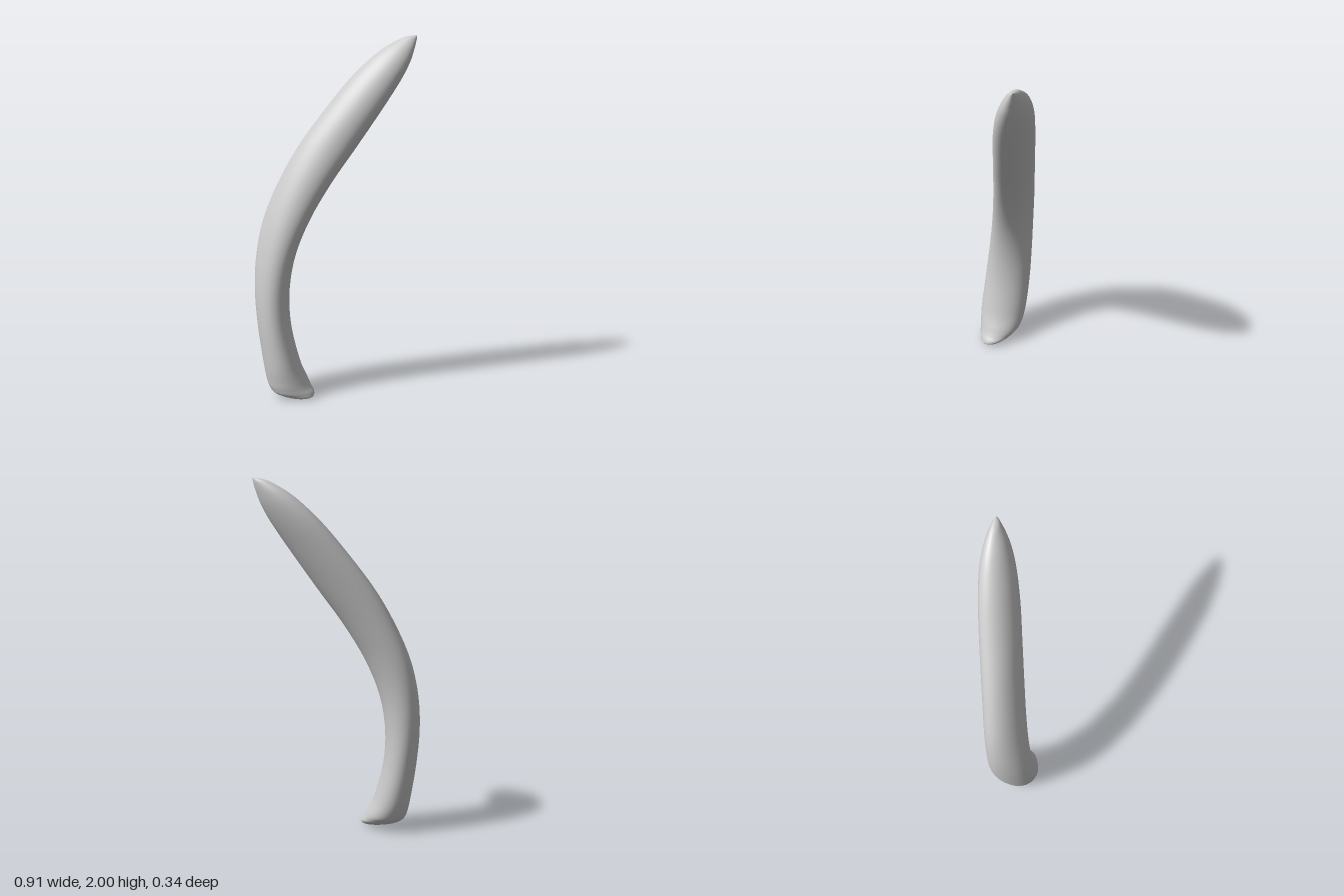
import * as THREE from 'three';

// Horizontal slices of the horn: height, x range, z range
const slices = [
  [0, -0.2, -0.2, 0.11, 0.11],
  [0.008, -0.27, -0.148, 0.06, 0.158],
  [0.03, -0.355, -0.137, 0.0, 0.17],
  [0.06, -0.385, -0.152, -0.048, 0.172],
  [0.1, -0.4, -0.17, -0.078, 0.172],
  [0.2, -0.418, -0.212, -0.103, 0.168],
  [0.4, -0.445, -0.258, -0.122, 0.145],
  [0.6, -0.458, -0.265, -0.131, 0.122],
  [0.8, -0.445, -0.23, -0.137, 0.102],
  [1.0, -0.4, -0.148, -0.144, 0.086],
  [1.2, -0.315, -0.028, -0.15, 0.073],
  [1.4, -0.2, 0.115, -0.158, 0.06],
  [1.6, -0.05, 0.255, -0.166, 0.046],
  [1.75, 0.075, 0.355, -0.168, 0.026],
  [1.85, 0.175, 0.41, -0.16, 0.002],
  [1.92, 0.26, 0.436, -0.143, -0.025],
  [1.97, 0.345, 0.45, -0.118, -0.052],
  [1.99, 0.395, 0.454, -0.1, -0.066],
  [2, 0.455, 0.455, -0.081, -0.081],
];

function createHornGeometry(rings = 144, sides = 48) {
  // Two rails share their heights and bound every slice
  const rail = (xi, zi) => new THREE.CatmullRomCurve3(
    slices.map((s) => new THREE.Vector3(s[xi], s[0], s[zi])), false, 'catmullrom', 0.5);
  const outer = rail(1, 3);
  const inner = rail(2, 4);
  const positions = [];
  const indices = [];
  for (let i = 0; i <= rings; i++) {
    const p = outer.getPoint(i / rings);
    const q = inner.getPoint(i / rings);
    // The oval twists slightly as the horn leans over
    const skew = 0.35 * THREE.MathUtils.smoothstep(p.y, 0.4, 1.1);
    for (let j = 0; j < sides; j++) {
      const t = (j / sides) * Math.PI * 2;
      positions.push(
        (p.x + q.x) / 2 + ((q.x - p.x) / 2) * Math.cos(t - skew),
        p.y,
        (p.z + q.z) / 2 + ((q.z - p.z) / 2) * Math.sin(t));
      if (i === rings) continue;
      const a = i * sides + j;
      const b = i * sides + ((j + 1) % sides);
      indices.push(a, a + sides, b, b, a + sides, b + sides);
    }
  }
  const geometry = new THREE.BufferGeometry();
  geometry.setAttribute('position', new THREE.Float32BufferAttribute(positions, 3));
  geometry.setIndex(indices);
  geometry.computeVertexNormals();
  return geometry;
}

export function createModel() {
  const group = new THREE.Group();
  group.name = 'curvedHorn';
  const horn = new THREE.Mesh(
    createHornGeometry(),
    new THREE.MeshStandardMaterial({ color: 0xcccccc }));
  horn.name = 'horn';
  group.add(horn);
  return group;
}
